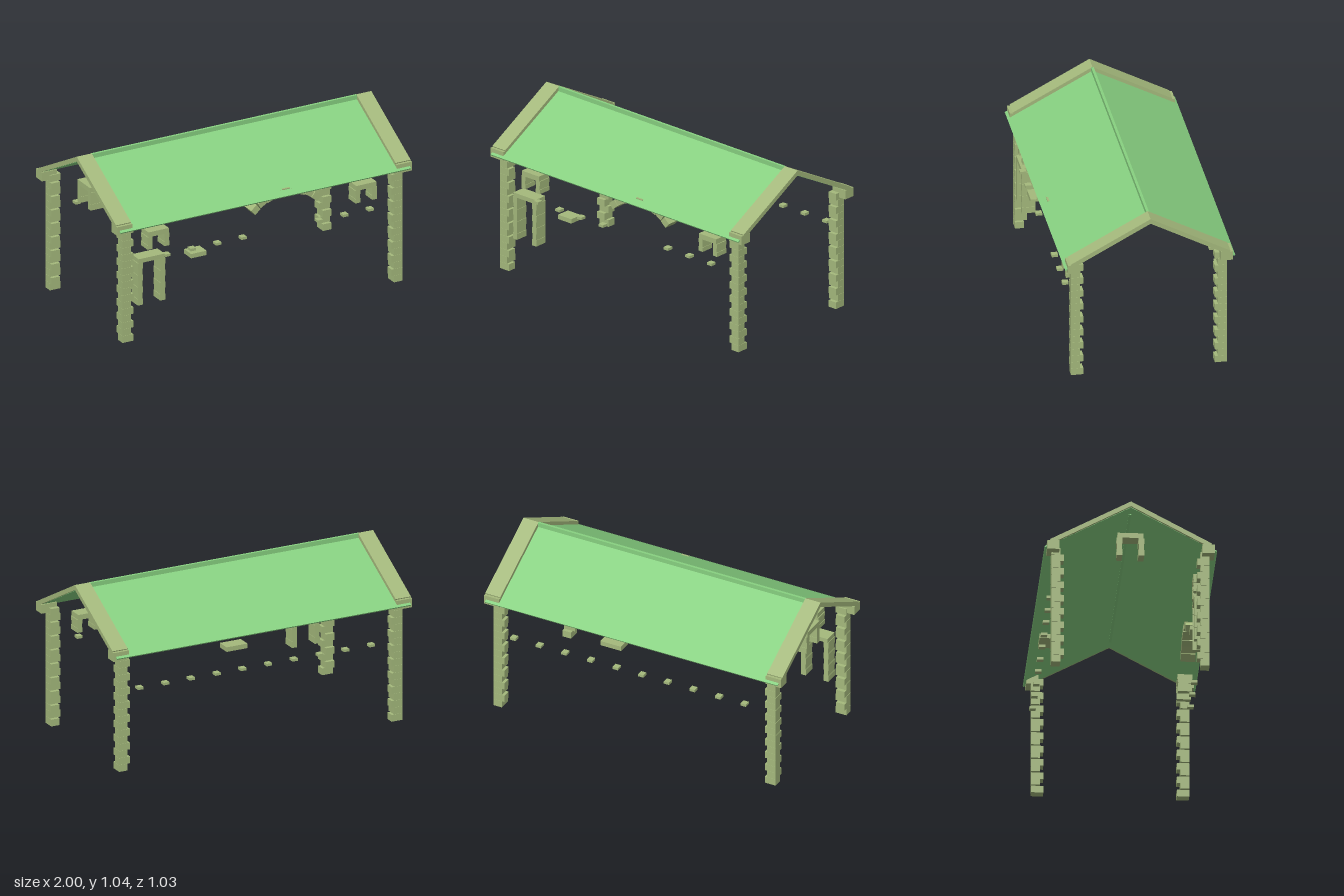
import * as THREE from 'three';

export function createModel() {
  const model = new THREE.Group();
  model.name = 'roofAndStoneTrim';
  const stone = new THREE.MeshStandardMaterial({ color: 0xa4b97c });
  stone.name = 'stone';
  const roofGreen = new THREE.MeshStandardMaterial({ color: 0x87d080 });
  roofGreen.name = 'roofGreen';

  const group = (name, parent = model) => {
    const g = new THREE.Group();
    g.name = name;
    parent.add(g);
    return g;
  };
  // Box given by its limits on each axis
  const block = (parent, name, [x0, x1], [y0, y1], [z0, z1], mat = stone) => {
    const m = new THREE.Mesh(
      new THREE.BoxGeometry(Math.abs(x1 - x0), Math.abs(y1 - y0), Math.abs(z1 - z0)), mat);
    m.position.set((x0 + x1) / 2, (y0 + y1) / 2, (z0 + z1) / 2);
    m.name = name;
    parent.add(m);
    return m;
  };
  // Inverted V section, extruded along x
  const chevron = (name, right, x0, x1, mat) => {
    const left = right.slice(1, -1).reverse().map(([z, y]) => [-z, y]);
    const shape = new THREE.Shape([...right, ...left].map(([z, y]) => new THREE.Vector2(z, y)));
    const geo = new THREE.ExtrudeGeometry(shape, { depth: x1 - x0, bevelEnabled: false });
    geo.rotateY(Math.PI / 2);
    geo.translate(x0, 0, 0);
    const m = new THREE.Mesh(geo, mat);
    m.name = name;
    model.add(m);
  };

  // Roof sheet and ridge
  chevron('roof', [[0, 1.013], [0.514, 0.737], [0.51, 0.73], [0, 1.004]], -0.985, 0.985, roofGreen);
  block(model, 'ridge', [-0.9, 0.9], [0.997, 1.036], [-0.008, 0.008], roofGreen);

  // Gable copings with kneeler blocks at the eaves
  for (const s of [-1, 1]) {
    chevron('gableCoping', [[0, 1.038], [0.482, 0.777], [0.47, 0.752], [0, 1.007]],
      s > 0 ? 0.898 : -1, s > 0 ? 1 : -0.898, stone);
    for (const t of [-1, 1])
      block(model, 'kneeler', [s * 0.898, s], [0.714, 0.771], [t * 0.425, t * 0.498]);
  }

  // Corner quoins, long and short in turn
  const rows = 17, pitch = 0.745 / rows;
  for (const s of [-1, 1]) for (const t of [-1, 1]) {
    const quoins = group('cornerQuoins');
    for (let i = 0; i < rows; i++) {
      const longZ = (i % 2 === 0) === (s > 0);
      block(quoins, 'quoin', [s * (longZ ? 0.893 : 0.877), s * 0.95],
        [i * pitch, (i + 1) * pitch - 0.001], [t * (longZ ? 0.397 : 0.417), t * 0.471]);
    }
  }

  // Opening surround: lintel over two jambs of stacked blocks, facing +z
  const surround = (name, halfWidth, bottom, lintelY, top, count) => {
    const g = group(name);
    block(g, 'lintel', [-halfWidth, halfWidth], [lintelY, top], [-0.0435, 0.0435]);
    const h = (lintelY - bottom) / count;
    for (const s of [-1, 1]) for (let i = 0; i < count; i++) {
      const wide = i % 2 ? 0 : 0.003;
      block(g, 'jambBlock', [s * (halfWidth - 0.026 - wide), s * (halfWidth + 0.002 + wide)],
        [bottom + i * h, bottom + (i + 1) * h], [-0.042, 0.042]);
    }
    return g;
  };
  const wallZ = 0.4285;
  for (const s of [-1, 1])
    surround('frontWindowSurround', 0.069, 0.567, 0.648, 0.68, 3).position.set(s * 0.705, 0, wallZ);
  surround('doorSurround', 0.088, 0.22, 0.493, 0.52, 7).position.set(-0.753, 0, wallZ);
  const gable = surround('gableWindowSurround', 0.077, 0.709, 0.822, 0.853, 3);
  gable.rotation.y = -Math.PI / 2;
  gable.position.x = -0.9085;

  // Segmental arch of radial stones
  const arch = group('archStones');
  const radius = 0.318;
  for (let i = -4; i <= 4; i++) {
    const a = i * 0.175;
    const height = i % 2 ? 0.034 : 0.042;
    const m = block(arch, 'archStone', [-0.025, 0.025], [-height / 2, height / 2], [-0.0435, 0.0435]);
    m.position.set(0.16 + radius * Math.sin(a), 0.427 + radius * Math.cos(a), wallZ);
    m.rotation.z = -a;
  }

  // Single lintels front and back
  block(model, 'frontLintel', [-0.485, -0.38], [0.45, 0.478], [0.385, 0.472]);
  block(model, 'backLintel', [0.09, 0.23], [0.636, 0.665], [-0.472, -0.385]);

  // Rows of small corbels along both long sides
  const corbels = group('corbels');
  const corbel = (x, t) =>
    block(corbels, 'corbel', [x - 0.018, x + 0.018], [0.503, 0.519], [t * 0.448, t * 0.486]);
  for (let i = 0; i < 10; i++) corbel(-0.74 + i * 0.1725, -1);
  for (let i = 0; i < 9; i++) if (i !== 4 && i !== 5) corbel(-0.65 + i * 0.1725, 1);

  return model;
}
